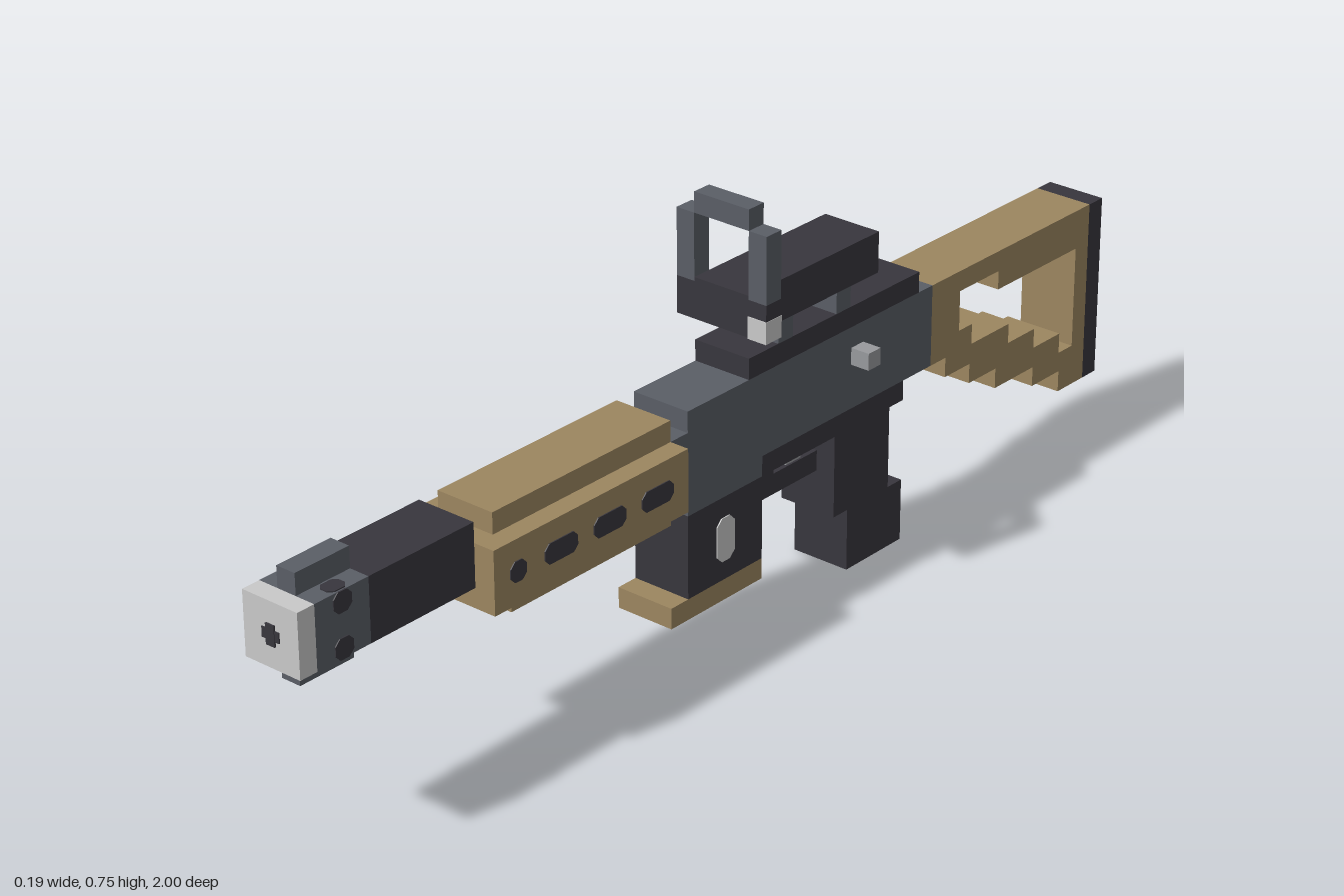
import * as THREE from 'three';

const mat = (name, color) => {
  const m = new THREE.MeshStandardMaterial({ color });
  m.name = name;
  return m;
};

export function createModel() {
  const dark = mat('charcoal', 0x38363d);
  const gray = mat('steel gray', 0x5a5e66);
  const tan = mat('tan', 0x9c8660);
  const light = mat('light gray', 0xc9c9c9);
  const knobGray = mat('knob gray', 0x989a9d);
  const root = new THREE.Group();
  root.name = 'blockRifle';
  const W = 0.057, WIDE = 0.094; // half widths

  const add = (name, geo, material) => {
    const m = new THREE.Mesh(geo, material);
    m.name = name;
    root.add(m);
    return m;
  };
  // Block given by its min and max on each axis
  const block = (name, material, x0, x1, y0, y1, z0, z1) => {
    const g = new THREE.BoxGeometry(x1 - x0, y1 - y0, z1 - z0);
    return add(name, g.translate((x0 + x1) / 2, (y0 + y1) / 2, (z0 + z1) / 2), material);
  };
  // Block symmetric about x = 0
  const mid = (name, material, hw, y0, y1, z0, z1) => block(name, material, -hw, hw, y0, y1, z0, z1);
  // Thin chamfered plate, facing +z before rotation
  const plate = (name, material, w, h, x, y, z, rx = 0, ry = 0) => {
    const a = w / 2, b = h / 2, c = Math.min(a, b) * 0.55;
    const s = new THREE.Shape([[-a, -b + c], [-a + c, -b], [a - c, -b], [a, -b + c],
      [a, b - c], [a - c, b], [-a + c, b], [-a, b - c]].map(p => new THREE.Vector2(...p)));
    const g = new THREE.ExtrudeGeometry(s, { depth: 0.003, bevelEnabled: false });
    const m = add(name, g, material);
    m.position.set(x, y, z);
    m.rotation.set(rx, ry, 0);
    return m;
  };

  // Muzzle and barrel
  mid('muzzleTip', light, W, 0.342, 0.455, 0.965, 1);
  mid('muzzleBrake', gray, W, 0.342, 0.455, 0.853, 0.965);
  mid('upperFin', gray, 0.019, 0.455, 0.493, 0.853, 0.965);
  mid('lowerFin', gray, 0.019, 0.304, 0.342, 0.853, 0.965);
  mid('barrel', dark, W, 0.342, 0.455, 0.628, 0.853);
  mid('boreWide', dark, 0.018, 0.39, 0.408, 0.999, 1.002);
  mid('boreTall', dark, 0.009, 0.381, 0.417, 0.999, 1.003);
  for (const s of [-1, 1]) {
    for (const t of [-1, 1]) {
      plate('sideVent', dark, 0.038, 0.036, s * (W - 0.001), 0.398 + t * 0.039, 0.909, 0, s * Math.PI / 2);
      plate('faceVent', dark, 0.03, 0.038, s * 0.039, 0.3985 + t * 0.0555, 0.909, -t * Math.PI / 2);
    }
  }

  // Handguard with side slots
  mid('handguard', tan, WIDE, 0.304, 0.417, 0.174, 0.625);
  mid('handguardTop', tan, W, 0.417, 0.455, 0.174, 0.587);
  mid('handguardBottom', tan, W, 0.267, 0.304, 0.174, 0.55);
  for (const s of [-1, 1]) {
    [[0.572, 0.036], [0.475, 0.075], [0.362, 0.075], [0.249, 0.075]].forEach(([z, w]) =>
      plate('handguardSlot', dark, w, 0.036, s * (WIDE - 0.001), 0.362, z, 0, s * Math.PI / 2));
  }
  block('handguardLatch', light, -WIDE - 0.002, -W, 0.306, 0.341, 0.172, 0.249);

  // Receiver
  mid('receiverFront', gray, W, 0.304, 0.417, 0.132, 0.174);
  mid('receiver', gray, W, 0.304, 0.455, -0.506, 0.132);
  mid('magazineWell', gray, W, 0.267, 0.304, -0.055, 0.132);
  mid('lowerReceiver', dark, W, 0.267, 0.304, -0.43, -0.055);
  mid('topRail', dark, W, 0.455, 0.493, -0.468, -0.02);
  block('boltKnob', knobGray, W, WIDE, 0.386, 0.417, -0.318, -0.286);
  plate('sidePort', dark, 0.06, 0.038, -W + 0.001, 0.4, -0.21, 0, -Math.PI / 2);

  // Magazine
  mid('magazine', dark, W, 0.115, 0.267, -0.055, 0.132);
  mid('magazineBase', tan, W, 0.077, 0.115, -0.055, 0.174);
  for (const s of [-1, 1])
    plate('magazineWindow', light, 0.044, 0.08, s * (W - 0.001), 0.19, 0.039, 0, s * Math.PI / 2);

  // Grip, trigger and guard
  mid('gripUpper', dark, W, 0.115, 0.267, -0.393, -0.245);
  mid('gripLower', dark, W, 0, 0.115, -0.43, -0.282);
  mid('guardPost', dark, 0.019, 0.23, 0.267, -0.13, -0.094);
  mid('triggerGuard', dark, 0.019, 0.192, 0.23, -0.245, -0.094);
  mid('trigger', knobGray, 0.015, 0.225, 0.267, -0.206, -0.168);

  // Stock with stepped brace, outlined in (-z, y)
  const pts = a => a.map(p => new THREE.Vector2(...p));
  const stock = new THREE.Shape(pts([[0.506, 0.455], [0.506, 0.304], [0.548, 0.304], [0.548, 0.267],
    [0.618, 0.267], [0.618, 0.23], [0.695, 0.23], [0.695, 0.192], [0.807, 0.192], [0.807, 0.155],
    [0.887, 0.155], [0.887, 0.115], [0.962, 0.115], [0.962, 0.455]]));
  stock.holes.push(new THREE.Path(pts([[0.585, 0.417], [0.695, 0.417], [0.695, 0.382], [0.925, 0.382],
    [0.925, 0.192], [0.885, 0.192], [0.885, 0.23], [0.807, 0.23], [0.807, 0.267], [0.73, 0.267],
    [0.73, 0.304], [0.622, 0.304], [0.622, 0.342], [0.585, 0.342]])));
  const stockGeo = new THREE.ExtrudeGeometry(stock, { depth: 2 * W, bevelEnabled: false });
  add('stock', stockGeo.translate(0, 0, -W).rotateY(Math.PI / 2), tan);
  mid('buttPlate', dark, W, 0.115, 0.455, -1, -0.962);

  // Optic on two mounts, with an open front frame
  mid('frontMount', gray, W, 0.493, 0.531, -0.132, -0.094);
  mid('rearMount', gray, W, 0.493, 0.531, -0.282, -0.245);
  mid('opticBody', dark, W, 0.531, 0.605, -0.355, -0.055);
  mid('frameBase', dark, WIDE, 0.531, 0.598, -0.055, -0.018);
  mid('frameSill', dark, W, 0.598, 0.605, -0.055, -0.018);
  for (const s of [-1, 1]) {
    const x = s * (W + WIDE) / 2, h = (WIDE - W) / 2;
    block('framePost', gray, x - h, x + h, 0.598, 0.718, -0.055, -0.018);
  }
  mid('frameTop', gray, W, 0.718, 0.755, -0.055, -0.018);
  block('opticButton', light, W, WIDE + 0.001, 0.53, 0.569, -0.056, -0.016);

  return root;
}
